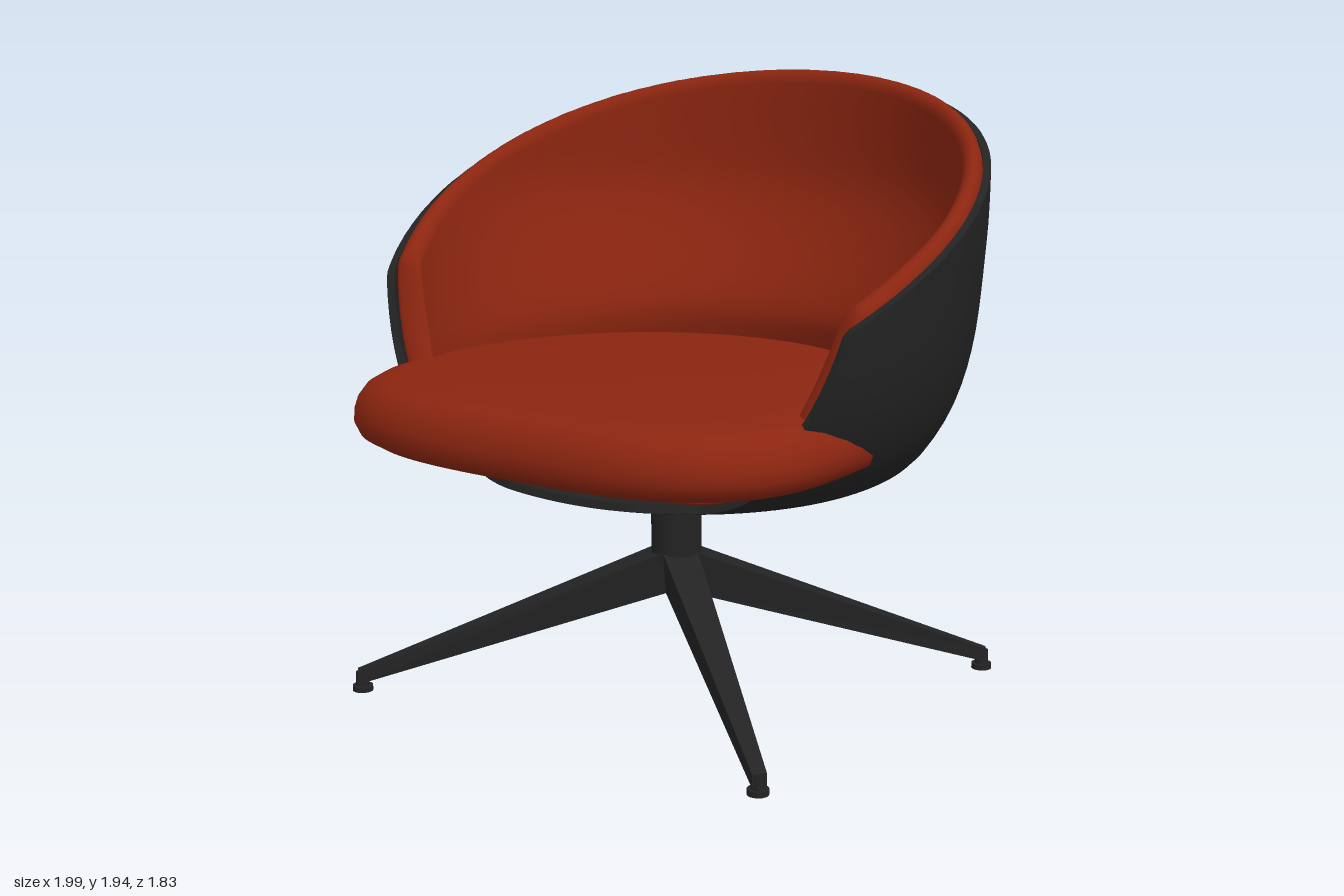
import * as THREE from 'three';

const red = new THREE.MeshStandardMaterial({ color: 0x8b2510, side: THREE.DoubleSide });
red.name = 'rust red upholstery';
const black = new THREE.MeshStandardMaterial({ color: 0x232323, side: THREE.DoubleSide });
black.name = 'charcoal black';

const COLUMNS = 288;
const DEPTH = 0.915; // the shell is slightly shallower than wide

function add(parent, name, geometry, material) {
  const mesh = new THREE.Mesh(geometry, material);
  mesh.name = name;
  parent.add(mesh);
  return mesh;
}

// Closed loft: section(theta) gives one column of points, theta = 0 is the back
function loft(section) {
  const pos = [], index = [];
  let rows = 0;
  for (let i = 0; i < COLUMNS; i++) {
    const pts = section((i / COLUMNS) * Math.PI * 2);
    rows = pts.length;
    for (const p of pts) pos.push(p[0], p[1], p[2]);
  }
  for (let i = 0; i < COLUMNS; i++) {
    const a = i * rows, b = ((i + 1) % COLUMNS) * rows;
    for (let j = 0; j < rows - 1; j++) {
      index.push(a + j, a + j + 1, b + j, b + j, a + j + 1, b + j + 1);
    }
  }
  const g = new THREE.BufferGeometry();
  g.setAttribute('position', new THREE.Float32BufferAttribute(pos, 3));
  g.setIndex(index);
  g.computeVertexNormals();
  return g;
}

// Bowl profile (radius, height), sampled by arc length
const profile = new THREE.SplineCurve([
  [0, 0.705], [0.25, 0.705], [0.45, 0.706], [0.62, 0.722], [0.76, 0.78], [0.85, 0.88],
  [0.92, 1.02], [0.965, 1.2], [0.99, 1.45], [1, 1.65], [1, 2.05],
].map(([x, y]) => new THREE.Vector2(x, y)));
profile.arcLengthDivisions = 1000;
const LENGTH = profile.getLength();
const SAMPLES = 1500;
const table = [];
for (let i = 0; i <= SAMPLES; i++) {
  const p = profile.getPointAt(i / SAMPLES), t = profile.getTangentAt(i / SAMPLES);
  table.push([p.x, p.y, -t.y, t.x]);
}

// Point on the bowl at arc length s, moved inward by d
function bowl(theta, s, d) {
  const f = THREE.MathUtils.clamp(s / LENGTH, 0, 1) * SAMPLES;
  const i = Math.min(Math.floor(f), SAMPLES - 1);
  const [r, y, nr, ny] = table[i].map((v, k) => v + (table[i + 1][k] - v) * (f - i));
  const R = Math.max(r + nr * d, 0);
  return [R * Math.sin(theta), y + ny * d, -R * Math.cos(theta) * DEPTH];
}

// Arc length at which a column meets the sloping rim or the front opening
function trim(theta, lift, setback, lip) {
  for (let i = 0; i < SAMPLES; i++) {
    const [r, y] = table[i];
    const z = -r * Math.cos(theta) * DEPTH;
    const top = 1.55 - 0.5 * z - 0.09 * z * z + lift;
    let front = y < 0.735 ? lip : 0.47;
    if (y > 1) front = 0.47 - (y - 1) * 0.24;
    if (y > top || z > front - setback) return (i / SAMPLES) * LENGTH;
  }
  return LENGTH;
}

const SKIN = 0.025;

// Padding is thickest at seat level, most of all at the back
function padDepth(theta, y) {
  const step = THREE.MathUtils.smoothstep;
  const mid = Math.max(0.1, 0.16 + 0.09 * Math.cos(theta));
  return y > 1.07
    ? mid + (0.09 - mid) * step(y, 1.07, 1.6)
    : 0.045 + (mid - 0.045) * step(y, 0.74, 1.05);
}

function buildShell(chair) {
  const shell = new THREE.Group();
  shell.name = 'shell';
  chair.add(shell);
  const end = (theta) => trim(theta, -0.02, 0, 0.57);

  add(shell, 'outerShell', loft((th) => {
    const T = end(th), pts = [];
    for (let j = 0; j <= 32; j++) pts.push(bowl(th, (T * j) / 32, 0));
    return pts;
  }), black);
  add(shell, 'shellEdge', loft((th) => {
    const T = end(th);
    return [bowl(th, T, 0), bowl(th, T, SKIN)];
  }), black);
  add(shell, 'shellLining', loft((th) => {
    const T = end(th);
    return [0, 0.1, 0.2].map((k) => bowl(th, T - k, SKIN));
  }), black);

  // Upholstered lining with a rounded rim
  add(shell, 'backPadding', loft((th) => {
    const T = trim(th, 0.008, 0.03, 0.47), h = 0.045, pts = [bowl(th, T - 0.12, SKIN)];
    const depth = (s) => padDepth(th, bowl(th, s, 0)[1]);
    for (let k = 0; k <= 10; k++) {
      const a = (k / 10) * Math.PI, s = T - h * (1 - Math.sin(a));
      pts.push(bowl(th, s, SKIN + (depth(s) - SKIN) * (1 - Math.cos(a)) / 2));
    }
    for (let j = 1; j <= 28; j++) {
      const s = (T - h) * (1 - j / 28);
      pts.push(bowl(th, s, depth(s)));
    }
    return pts;
  }), red);

  // Thin trim line under the shell, open at the front
  const ring = new THREE.RingGeometry(0.455, 0.47, 64, 1, Math.PI * 5 / 6, Math.PI * 4 / 3);
  ring.rotateX(Math.PI / 2);
  add(shell, 'undersideTrim', ring, red).position.y = 0.702;
}

// Cushion: round at the back, squarer at the front, softly domed
function buildCushion(chair) {
  const layers = [
    [0, 0.85], [0.4, 0.85], [0.84, 0.852], [0.93, 0.862], [0.98, 0.885], [1, 0.92], [0.998, 0.955],
    [0.985, 0.99], [0.955, 1.025], [0.91, 1.048], [0.84, 1.06], [0.7, 1.066], [0.4, 1.071], [0, 1.073],
  ];
  add(chair, 'seatCushion', loft((th) => {
    const s = Math.sin(th), c = -Math.cos(th);
    const n = c > 0 ? 3 : 2, b = c > 0 ? 0.665 : 0.91;
    const k = Math.pow(Math.pow(Math.abs(s), n) + Math.pow(Math.abs(c), n), -1 / n);
    return layers.map(([f, y]) => [0.85 * k * s * f, y, 0.25 + b * k * c * f]);
  }), red);
}

function buildBase(chair) {
  const base = new THREE.Group();
  base.name = 'swivelBase';
  chair.add(base);
  add(base, 'column', new THREE.CylinderGeometry(0.082, 0.082, 0.3, 40), black).position.y = 0.565;

  // Tapered leg from the hub to a foot
  const reach = Math.hypot(0.77, 0.68);
  const legGeometry = new THREE.BoxGeometry(1, 1, 1).toNonIndexed();
  const p = legGeometry.attributes.position;
  for (let i = 0; i < p.count; i++) {
    const tip = p.getX(i) > 0, up = p.getY(i) > 0;
    const width = tip ? 0.045 : up ? 0.12 : 0.09;
    p.setXYZ(i, tip ? reach + 0.015 : 0,
      tip ? (up ? 0.068 : 0.026) : (up ? 0.47 : 0.32), Math.sign(p.getZ(i)) * width / 2);
  }
  legGeometry.computeVertexNormals();
  for (const sx of [1, -1]) for (const sz of [1, -1]) {
    const leg = new THREE.Group();
    leg.name = 'leg';
    leg.rotation.y = -Math.atan2(0.68 * sz, 0.77 * sx);
    base.add(leg);
    add(leg, 'legBeam', legGeometry, black);
    add(leg, 'footPad', new THREE.CylinderGeometry(0.033, 0.033, 0.018, 24), black)
      .position.set(reach, 0.009, 0);
    add(leg, 'footStem', new THREE.CylinderGeometry(0.022, 0.022, 0.045, 16), black)
      .position.set(reach, 0.04, 0);
  }
}

export function createModel() {
  const chair = new THREE.Group();
  chair.name = 'swivelTubChair';
  buildShell(chair);
  buildCushion(chair);
  buildBase(chair);
  return chair;
}
